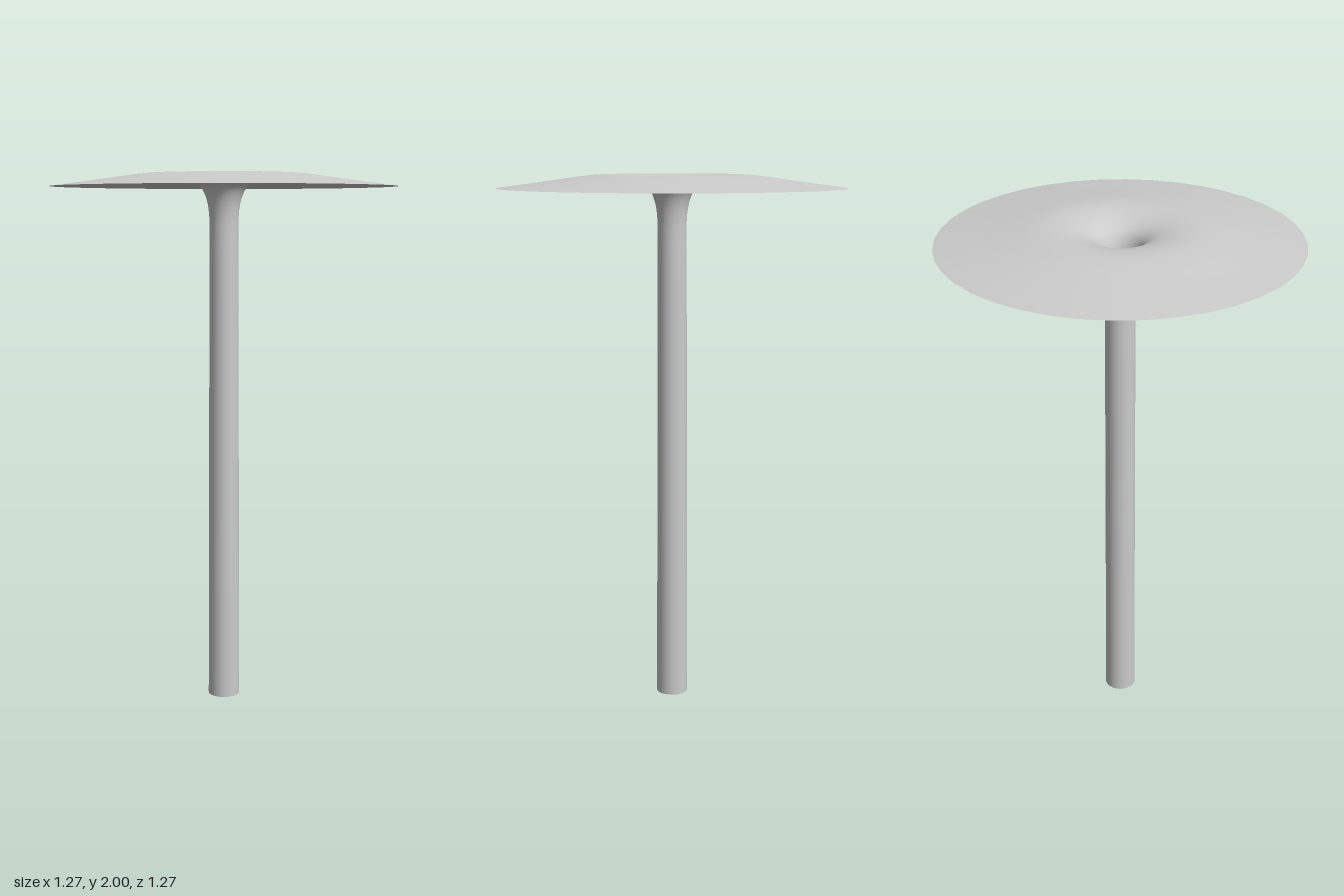
import * as THREE from 'three';

const SIDES = 40;

// Revolve a smooth curve through [radius, height] points into a thin open shell
function shell(name, points, steps, material) {
  const curve = new THREE.SplineCurve(points.map(([r, y]) => new THREE.Vector2(r, y)));
  const mesh = new THREE.Mesh(new THREE.LatheGeometry(curve.getPoints(steps), SIDES), material);
  mesh.name = name;
  return mesh;
}

export function createModel() {
  const group = new THREE.Group();
  group.name = 'flaredFunnel';
  const material = new THREE.MeshStandardMaterial({ color: 0xcccccc, side: THREE.DoubleSide });

  // One continuous open surface: tapering hollow stem, trumpet throat, drooping rim
  group.add(shell('stemAndFlare', [
    [0.06, 0], [0.058, 0.45], [0.056, 1.05], [0.054, 1.65],
    [0.053, 1.78], [0.054, 1.84], [0.06, 1.89], [0.073, 1.93],
    [0.093, 1.957], [0.13, 1.979], [0.19, 1.995], [0.26, 2.0],
    [0.34, 1.993], [0.48, 1.973], [0.637, 1.952],
  ], 56, material));

  return group;
}
